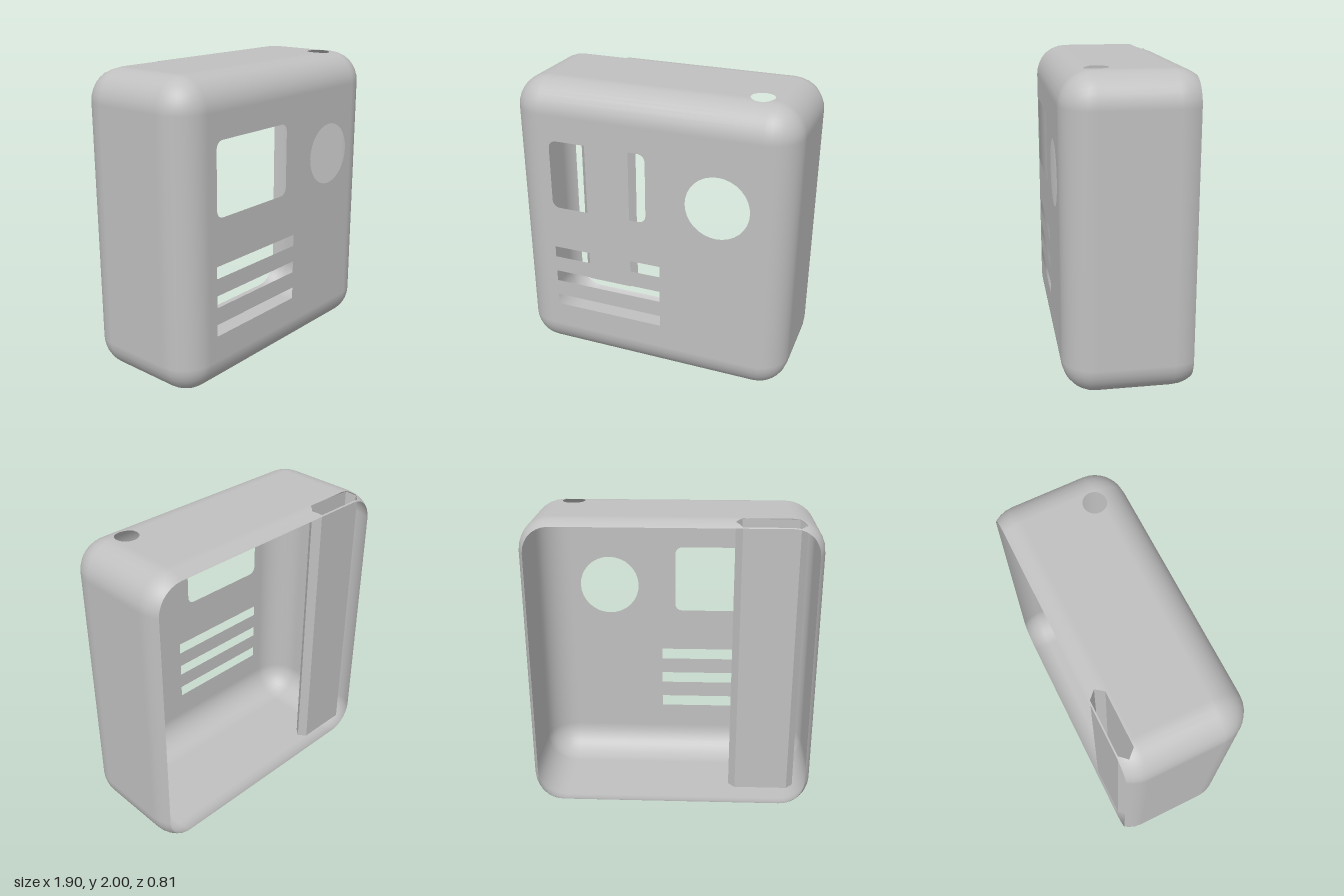
import * as THREE from 'three';
import { RoundedBoxGeometry } from 'three/addons/geometries/RoundedBoxGeometry.js';

const R = 0.21;      // corner radius of the shell
const BACK = -0.405; // plane of the open back

// Part of a convex polygon where dist >= 0; a vertex is [x, y, z, nx, ny, nz]
function clip(poly, dist) {
  const out = [];
  poly.forEach((a, i) => {
    const b = poly[(i + 1) % poly.length];
    const da = dist(a), db = dist(b);
    if (da >= 0) out.push(a);
    if ((da >= 0) !== (db >= 0)) {
      const t = da / (da - db);
      out.push(a.map((v, k) => v + (b[k] - v) * t));
    }
  });
  return out.length > 2 ? out : [];
}

// Removes a convex counter-clockwise outline, given on axes u and v, from a polygon
function cutHole(poly, outline, u, v) {
  const pieces = [];
  let inside = poly;
  for (let i = 0; i < outline.length && inside.length; i++) {
    const [ax, ay] = outline[i], [bx, by] = outline[(i + 1) % outline.length];
    const side = (p) => (bx - ax) * (p[v] - ay) - (by - ay) * (p[u] - ax);
    const outer = clip(inside, (p) => -side(p));
    if (outer.length) pieces.push(outer);
    inside = clip(inside, side);
  }
  return inside.length ? pieces : [poly];
}

// Outlines of the openings
function circle(cx, cy, r, n = 32) {
  return Array.from({ length: n }, (_, i) => {
    const a = (i / n) * Math.PI * 2;
    return [cx + r * Math.cos(a), cy + r * Math.sin(a)];
  });
}
function rect(x0, x1, y0, y1, r = 0) {
  if (!r) return [[x0, y0], [x1, y0], [x1, y1], [x0, y1]];
  const corners = [[x1 - r, y1 - r], [x0 + r, y1 - r], [x0 + r, y0 + r], [x1 - r, y0 + r]];
  return corners.flatMap(([cx, cy], q) => [0, 1, 2, 3, 4].map((k) => {
    const a = (q + k / 4) * Math.PI / 2;
    return [cx + r * Math.cos(a), cy + r * Math.sin(a)];
  }));
}
const channelOutline = [
  [-0.83, -0.35], [-0.785, -0.396], [-0.435, -0.396],
  [-0.393, -0.35], [-0.435, -0.3], [-0.785, -0.3],
];

// Thin rounded shell, open at the back, with all its openings
function shellGeometry() {
  const box = new RoundedBoxGeometry(1.9, 2, 0.895, 4, R);
  box.translate(0, 1, -0.0425);
  const src = box.index ? box.toNonIndexed() : box;
  const P = src.attributes.position, N = src.attributes.normal;

  const frontHoles = [
    rect(-0.668, 0, 1.148, 1.622, 0.05),  // display window
    circle(0.475, 1.337, 0.21),           // dial opening
    ...[0.38, 0.573, 0.765].map((y) => rect(-0.672, 0.095, y, y + 0.079)), // slots
  ];
  const topHoles = [circle(0.665, 0.165, 0.075, 24), channelOutline];

  const pos = [], nor = [];
  for (let i = 0; i < P.count; i += 3) {
    const tri = [0, 1, 2].map((k) => [
      P.getX(i + k), P.getY(i + k), P.getZ(i + k),
      N.getX(i + k), N.getY(i + k), N.getZ(i + k),
    ]);
    const body = clip(tri, (p) => p[2] - BACK);
    if (!body.length) continue;
    let polys = [body];
    if (tri.every((p) => p[2] > 0.38))
      for (const h of frontHoles) polys = polys.flatMap((q) => cutHole(q, h, 0, 1));
    if (tri.every((p) => p[1] > 1.75))
      for (const h of topHoles) polys = polys.flatMap((q) => cutHole(q, h, 0, 2));
    for (const q of polys)
      for (let k = 1; k + 1 < q.length; k++)
        for (const p of [q[0], q[k], q[k + 1]]) {
          pos.push(p[0], p[1], p[2]);
          nor.push(p[3], p[4], p[5]);
        }
  }
  const g = new THREE.BufferGeometry();
  g.setAttribute('position', new THREE.Float32BufferAttribute(pos, 3));
  g.setAttribute('normal', new THREE.Float32BufferAttribute(nor, 3));
  return g;
}

// Height of the rounded top of the shell
function topHeight(x, z) {
  const dx = Math.max(0, Math.abs(x) - (0.95 - R));
  const dz = Math.max(0, -0.28 - z);
  return 2 - R + Math.sqrt(R * R - dx * dx - dz * dz) - 0.004;
}

// Six-sided open tube hanging from the opening in the top
function channelGeometry() {
  const y0 = 0.16, pos = [];
  channelOutline.forEach(([ax, az], i) => {
    const [bx, bz] = channelOutline[(i + 1) % channelOutline.length];
    const a0 = [ax, y0, az], b0 = [bx, y0, bz];
    const a1 = [ax, topHeight(ax, az), az], b1 = [bx, topHeight(bx, bz), bz];
    pos.push(...a0, ...a1, ...b1, ...a0, ...b1, ...b0);
  });
  const g = new THREE.BufferGeometry();
  g.setAttribute('position', new THREE.Float32BufferAttribute(pos, 3));
  g.computeVertexNormals();
  return g;
}

export function createModel() {
  const grey = new THREE.MeshStandardMaterial({ color: 0xc0c0c0, side: THREE.DoubleSide });
  grey.name = 'light grey';

  const model = new THREE.Group();
  model.name = 'deviceCase';
  const shell = new THREE.Mesh(shellGeometry(), grey);
  shell.name = 'shell';
  const channel = new THREE.Mesh(channelGeometry(), grey);
  channel.name = 'strapChannel';
  model.add(shell, channel);
  return model;
}
